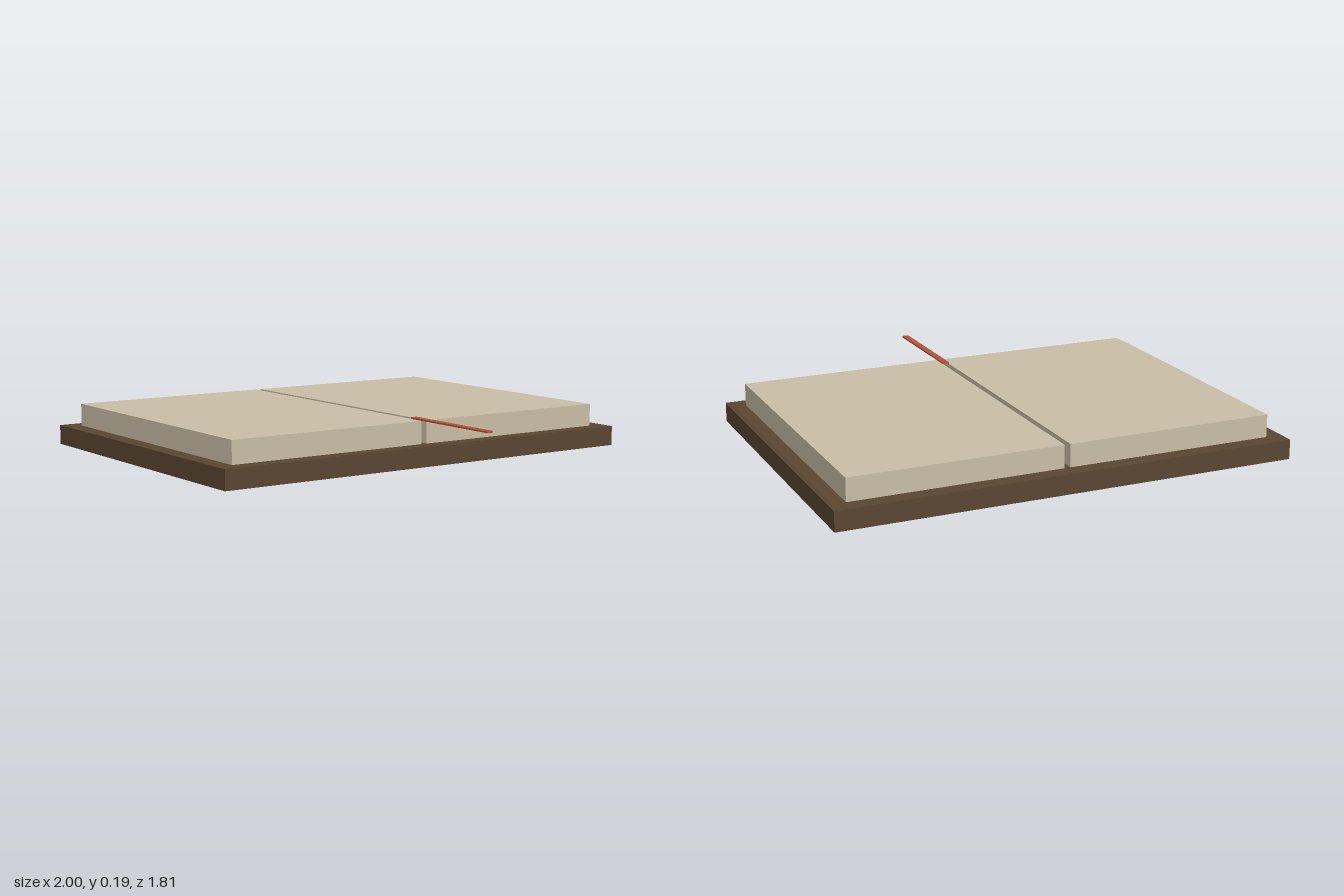
import * as THREE from 'three';

function material(name, color) {
  const m = new THREE.MeshStandardMaterial({ color });
  m.name = name;
  return m;
}

// Box given by its minimum and maximum on each axis
function block(name, mat, [x0, x1], [y0, y1], [z0, z1]) {
  const mesh = new THREE.Mesh(new THREE.BoxGeometry(x1 - x0, y1 - y0, z1 - z0), mat);
  mesh.position.set((x0 + x1) / 2, (y0 + y1) / 2, (z0 + z1) / 2);
  mesh.name = name;
  return mesh;
}

export function createModel() {
  const leather = material('brown leather', 0x5a4632);
  const paper = material('aged paper', 0xc9bea6);
  const ribbon = material('red ribbon', 0xb5523a);

  const book = new THREE.Group();
  book.name = 'openBook';

  // Cover lying flat
  book.add(block('cover', leather, [-1, 1], [0, 0.085], [-0.903, 0.541]));

  // Two page blocks with a narrow gutter between them
  book.add(block('leftPages', paper, [0.013, 0.928], [0.085, 0.183], [-0.833, 0.473]));
  book.add(block('rightPages', paper, [-0.928, -0.013], [0.085, 0.183], [-0.833, 0.473]));

  // Bookmark resting over the gutter and past the front edge
  book.add(block('bookmark', ribbon, [-0.0145, 0.0145], [0.183, 0.19], [0.4, 0.903]));

  return book;
}
